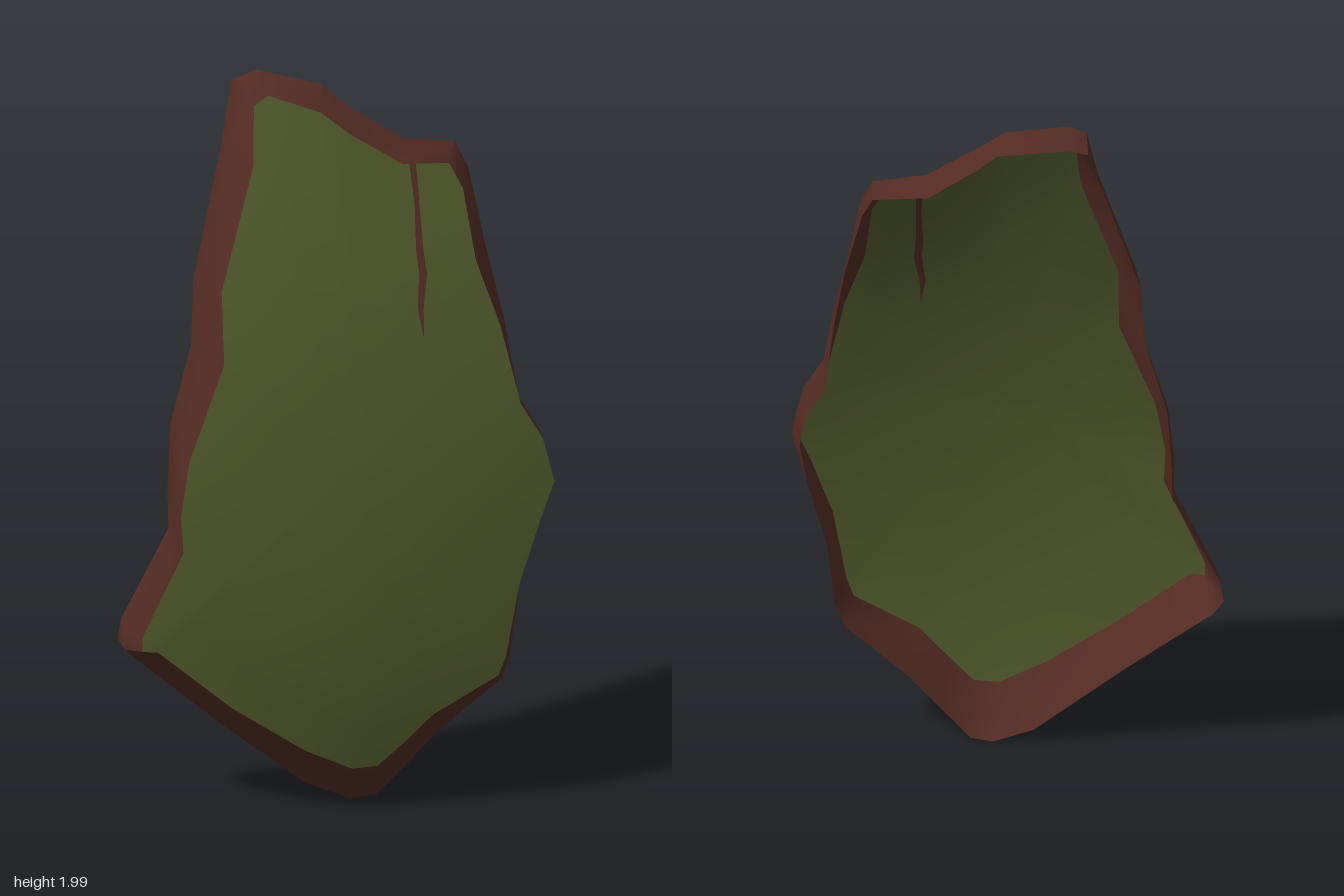
import * as THREE from 'three';
import { toCreasedNormals } from 'three/addons/utils/BufferGeometryUtils.js';

// Outline, clockwise from the top: panel edge x, y, then rear lip x, y
const OUTLINE = [
  [-.20, 1.92, -.24, 1.945], [-.16, 1.945, -.19, 1.96], [-.02, 1.90, .01, 1.92], [.06, 1.84, .06, 1.865],
  [.20, 1.755, .20, 1.77], [.33, 1.745, .35, 1.76], [.365, 1.68, .38, 1.70], [.39, 1.50, .43, 1.50],
  [.45, 1.33, .465, 1.30], [.50, 1.12, .49, 1.10], [.56, 1.02, .54, 1.02], [.59, .90, .56, .92],
  [.55, .80, .54, .80], [.49, .63, .49, .62], [.45, .42, .465, .42], [.43, .37, .44, .35],
  [.25, .27, .27, .20], [.17, .19, .19, .11], [.10, .125, .10, .01], [.03, .12, .04, 0],
  [-.10, .18, -.07, .04], [-.30, .31, -.32, .24], [-.50, .47, -.56, .42], [-.54, .47, -.59, .46],
  [-.54, .51, -.58, .52], [-.43, .75, -.45, .77], [-.435, .85, -.45, .87], [-.41, 1.0, -.44, 1.05],
  [-.31, 1.26, -.38, 1.27], [-.31, 1.45, -.37, 1.45], [-.21, 1.77, -.28, 1.78],
];
// Depth of the rear lip by height, one table for each side: y, z
const LIP_LEFT = [[0, .09], [.35, .06], [.9, .01], [1.02, -.015], [1.3, -.045], [1.5, -.10], [1.76, -.185],
  [1.87, -.195], [1.93, -.23]];
const LIP_RIGHT = [[0, .09], [.42, .055], [.77, .045], [.87, .025], [1.05, 0], [1.27, -.02], [1.45, -.05],
  [1.78, -.17], [1.96, -.26]];
const CENTRE = new THREE.Vector2(.03, .98);
const THICK = .03;

// Bowed face of the panel, falling away a little at its upper left
const faceZ = (x, y) => .26 - (y > .5 ? .168 : .3) * (y - .5) ** 2 - .2 * x * x
  - .35 * Math.max(0, x) * Math.max(0, y - 1.4);

function lipZ(x, y) {
  const table = x > 0 ? LIP_LEFT : LIP_RIGHT;
  const i = Math.max(1, table.findIndex(([h]) => h >= y));
  const [y0, z0] = table[i - 1], [y1, z1] = table[i];
  return z0 + (z1 - z0) * (y - y0) / (y1 - y0);
}

// Move a point outward from the centre (negative moves it in)
function push(x, y, d) {
  const dir = new THREE.Vector2(x, y).sub(CENTRE).normalize();
  return [x + dir.x * d, y + dir.y * d];
}

// Skin a list of closed rings
function loft(rings, flip = false) {
  const n = rings[0].length, index = [];
  for (let j = 0; j < rings.length - 1; j++) {
    for (let i = 0; i < n; i++) {
      const k = (i + 1) % n;
      const a = j * n + i, b = j * n + k, c = b + n, d = a + n;
      if (flip) index.push(a, c, b, a, d, c);
      else index.push(a, b, c, a, c, d);
    }
  }
  const g = new THREE.BufferGeometry();
  g.setAttribute('position', new THREE.Float32BufferAttribute(rings.flat(2), 3));
  g.setIndex(index);
  g.computeVertexNormals();
  return g;
}

// Curved sheet filled with rings shrinking to the centre
function sheet(edge, dz, flip) {
  const rings = [1, .85, .7, .55, .4, .25, .1, .002].map((t) => edge.map(([px, py]) => {
    const x = CENTRE.x + (px - CENTRE.x) * t, y = CENTRE.y + (py - CENTRE.y) * t;
    return [x, y, faceZ(x, y) + dz];
  }));
  return loft(rings, flip);
}

// Thin tapering ribbon lying on the sheet
function crackRibbon(dz) {
  const path = [[.228, 1.755, .009], [.234, 1.65, .007], [.235, 1.54, .010], [.241, 1.48, .011],
    [.230, 1.39, .008], [.236, 1.32, .001]];
  const pos = [], index = [];
  path.forEach(([x, y, w], i) => {
    for (const s of [-1, 1]) pos.push(x + s * w, y, faceZ(x + s * w, y) + dz);
    if (i) index.push(2 * i - 2, 2 * i, 2 * i - 1, 2 * i - 1, 2 * i, 2 * i + 1);
  });
  const g = new THREE.BufferGeometry();
  g.setAttribute('position', new THREE.Float32BufferAttribute(pos, 3));
  g.setIndex(index);
  g.computeVertexNormals();
  return g;
}

export function createModel() {
  const green = new THREE.MeshStandardMaterial({ color: 0x4f592b });
  green.name = 'mossGreen';
  const brown = new THREE.MeshStandardMaterial({ color: 0x522b22, side: THREE.DoubleSide });
  brown.name = 'barkBrown';

  const group = new THREE.Group();
  group.name = 'curvedShard';
  const add = (name, geometry, material) => {
    const mesh = new THREE.Mesh(geometry, material);
    mesh.name = name;
    group.add(mesh);
  };

  // Front and back faces of the panel
  const frontEdge = OUTLINE.map(([x, y]) => [x, y]);
  const backEdge = OUTLINE.map(([x, y]) => push(x, y, -.012));
  add('frontPanel', sheet(frontEdge, 0, true), green);
  add('backPanel', sheet(backEdge, -THICK, false), green);

  // Rim: front edge, bulged side, rear lip, back edge
  const front = frontEdge.map(([x, y]) => [x, y, faceZ(x, y)]);
  const lip = OUTLINE.map(([, , x, y]) => [x, y, lipZ(x, y)]);
  const side = front.map((f, i) => {
    const m = f.map((v, a) => (v + lip[i][a]) / 2);
    const dir = new THREE.Vector2(m[0], m[1]).sub(CENTRE).normalize();
    return [...push(m[0], m[1], .01 + .036 * dir.y ** 4), m[2]];
  });
  const back = backEdge.map(([x, y]) => [x, y, faceZ(x, y) - THICK]);
  add('rim', toCreasedNormals(loft([front, side, lip, back]), .9), brown);

  // Crack running down from the notch, on both faces
  add('frontCrack', crackRibbon(.004), brown);
  add('backCrack', crackRibbon(-THICK - .008), brown);
  return group;
}
